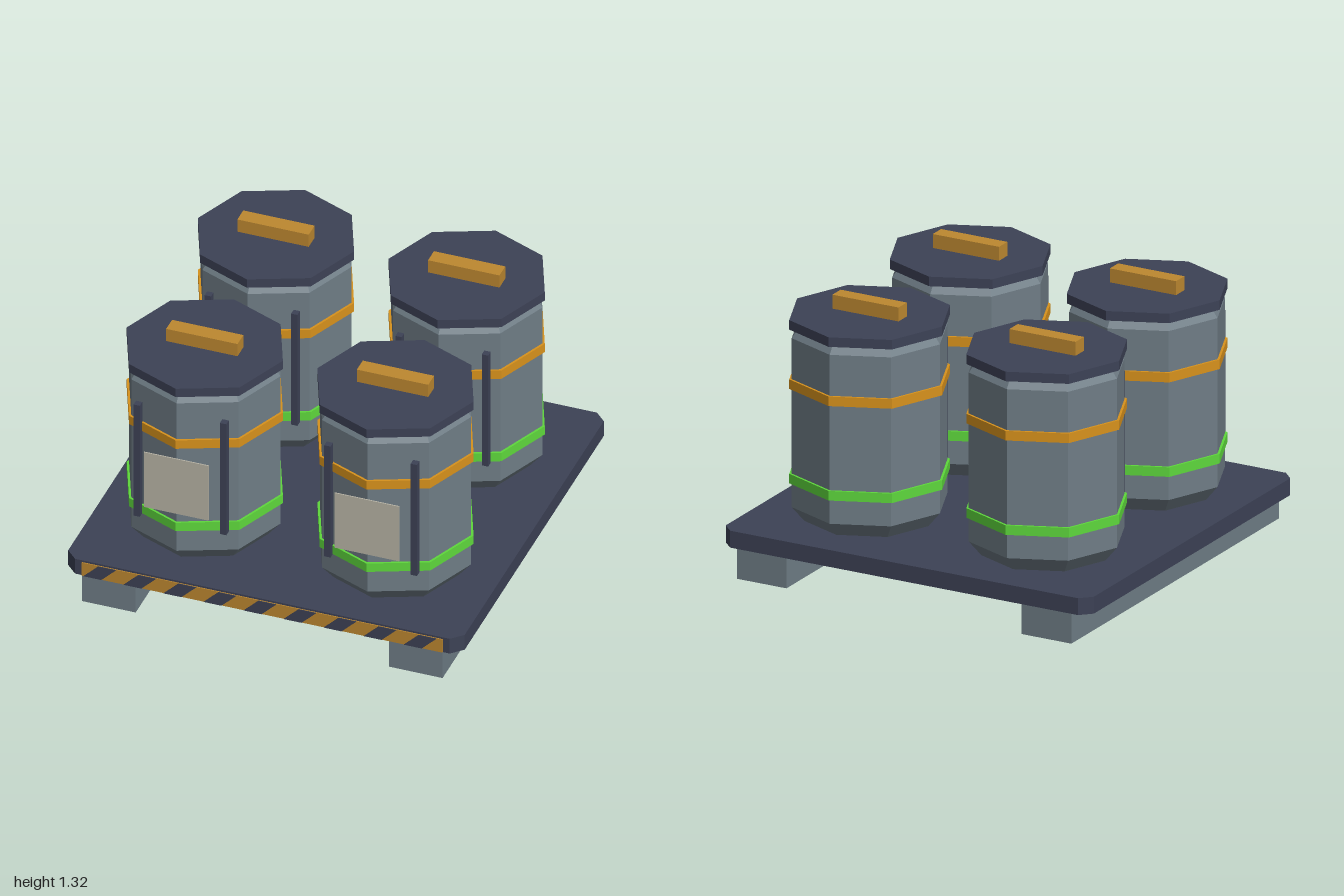
import * as THREE from 'three';

const material = (name, color) => {
  const m = new THREE.MeshStandardMaterial({ color, flatShading: true });
  m.name = name;
  return m;
};

export function createModel() {
  const steel = material('steel', 0x6f7d86);
  const dark = material('dark blue', 0x3d4256);
  const amber = material('amber', 0xbd8830);
  const orange = material('band orange', 0xd8921c);
  const green = material('band green', 0x5ed83c);
  const paper = material('label grey', 0xb8b4a6);

  const add = (parent, name, geometry, mat, x = 0, y = 0, z = 0) => {
    const mesh = new THREE.Mesh(geometry, mat);
    mesh.name = name;
    mesh.position.set(x, y, z);
    parent.add(mesh);
    return mesh;
  };
  const box = (w, h, d) => new THREE.BoxGeometry(w, h, d);
  const polygon = (points) => new THREE.Shape(points.map(([x, y]) => new THREE.Vector2(x, y)));

  const model = new THREE.Group();
  model.name = 'barrelPallet';

  // Pallet deck with clipped corners
  const c = 0.055, front = 0.992;
  const outline = polygon([
    [-1 + c, -front], [1 - c, -front], [1, -front + c], [1, 1 - c],
    [1 - c, 1], [-1 + c, 1], [-1, 1 - c], [-1, -front + c],
  ]);
  const deck = new THREE.ExtrudeGeometry(outline, { depth: 0.085, bevelEnabled: false });
  deck.rotateX(-Math.PI / 2);
  add(model, 'deck', deck, dark, 0, 0.15, 0);

  // Skids running front to back
  for (const side of [-1, 1]) {
    add(model, 'skid', box(0.27, 0.15, 1.992), steel, side * 0.774, 0.075, -0.004);
  }

  // Hazard strip on the front edge
  add(model, 'hazardStrip', box(1.82, 0.075, 0.005), amber, 0, 0.1875, 0.9945);
  const stripe = new THREE.ExtrudeGeometry(
    polygon([[-0.09, -0.037], [0, -0.037], [0.075, 0.037], [-0.015, 0.037]]),
    { depth: 0.003, bevelEnabled: false });
  for (let i = 0; i < 9; i++) {
    add(model, 'hazardStripe', stripe, dark, -0.81 + i * 0.202, 0.1875, 0.997);
  }

  // Eight-sided barrel
  const profile = [[0, 0.235], [0.32, 0.235], [0.382, 0.31], [0.382, 1.16], [0.35, 1.205], [0, 1.205]]
    .map(([r, y]) => new THREE.Vector2(r, y));
  const body = new THREE.LatheGeometry(profile, 8);
  const band = new THREE.CylinderGeometry(0.394, 0.394, 0.048, 8);
  const barrel = new THREE.Group();
  barrel.name = 'barrel';
  add(barrel, 'body', body, steel);
  add(barrel, 'lowerBand', band, green, 0, 0.455, 0);
  add(barrel, 'upperBand', band, orange, 0, 0.93, 0);
  add(barrel, 'lid', band, dark, 0, 1.228, 0);
  add(barrel, 'handle', box(0.36, 0.07, 0.08), amber, 0, 1.287, 0);
  add(barrel, 'label', box(0.326, 0.315, 0.006), paper, 0, 0.685, 0.385);
  for (const side of [-1, 1]) {
    add(barrel, 'rod', box(0.032, 0.64, 0.034), dark, side * 0.218, 0.747, 0.32);
  }

  // Two rows of two
  for (const x of [-0.481, 0.481]) {
    for (const z of [-0.482, 0.481]) {
      const copy = barrel.clone();
      copy.position.set(x, 0, z);
      model.add(copy);
    }
  }
  return model;
}
